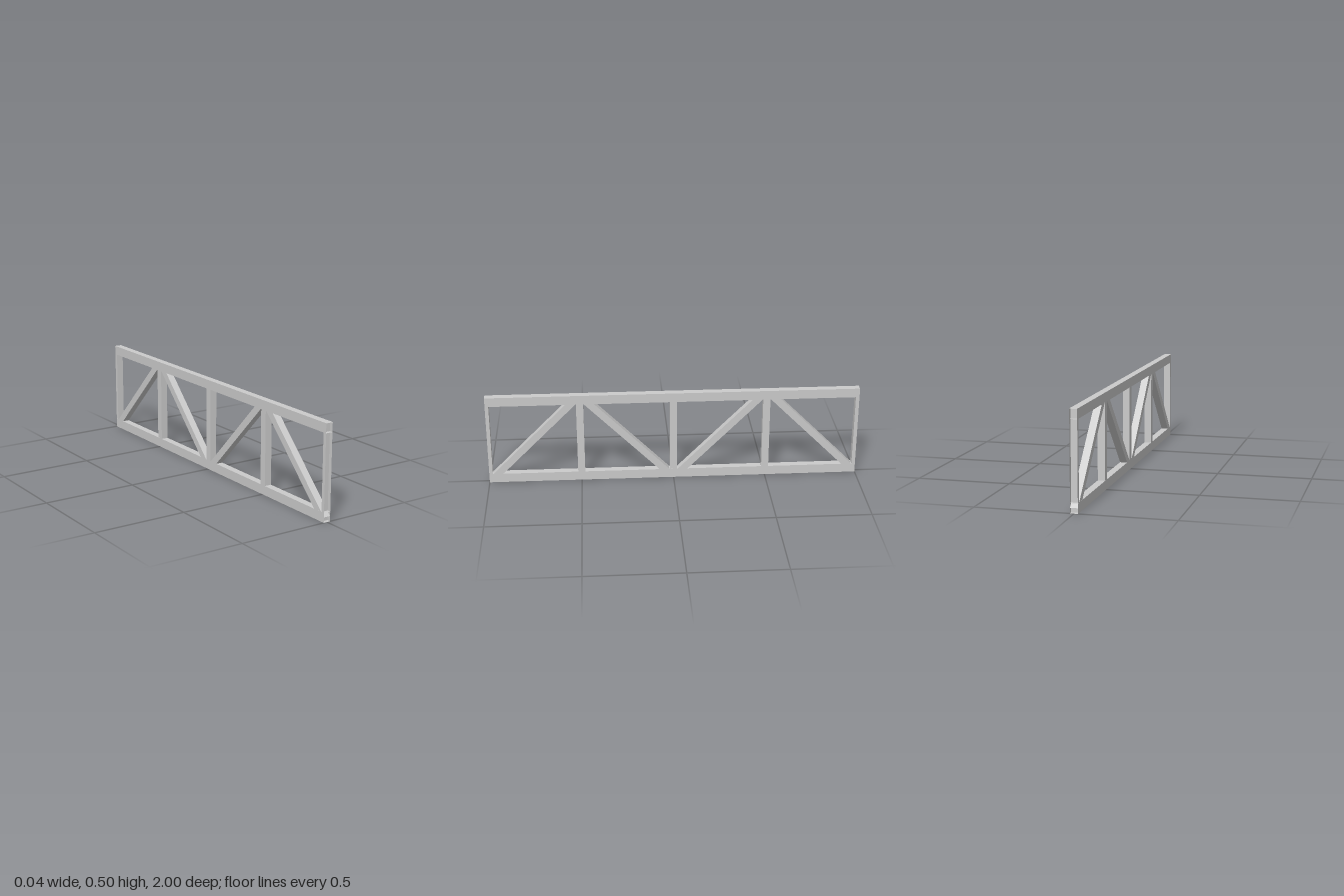
import * as THREE from 'three';

const HEIGHT = 0.5, CHORD = 0.05, BAR = 0.0385, WIDTH = 0.039;
const WEB = WIDTH - 0.0006; // web members sit just inside the chord faces
const SLOPE = BAR / Math.SQRT2; // half of a diagonal's vertical thickness

export function createModel() {
  const group = new THREE.Group();
  const material = new THREE.MeshStandardMaterial({
    color: 0xcccccc, side: THREE.DoubleSide, flatShading: true,
  });

  const add = (name, geometry, y = 0, z = 0) => {
    const mesh = new THREE.Mesh(geometry, material);
    mesh.name = name;
    mesh.position.set(0, y, z);
    group.add(mesh);
    return mesh;
  };

  // box keeping only its first faces (order: +x -x +y -y +z -z)
  const openBox = (w, h, d, keep, segments = 1) => {
    const geometry = new THREE.BoxGeometry(w, h, d, 1, 1, segments);
    const index = Array.from(geometry.index.array);
    geometry.setIndex(index.slice(0, keep === 4 ? 24 * segments : 30));
    return geometry;
  };

  // hollow chords, open at both ends
  add('bottomChord', openBox(WIDTH, CHORD, 2, 4), CHORD / 2);
  add('topChord', openBox(WIDTH, CHORD, 2, 4), HEIGHT - CHORD / 2);

  // full posts
  for (const z of [-0.5, 0, 0.5]) {
    add('post', new THREE.BoxGeometry(WEB, HEIGHT - 0.002, BAR), HEIGHT / 2, z);
  }

  // end posts: half sections, open towards the outside
  for (const side of [-1, 1]) {
    const post = add('endPost', openBox(WEB, HEIGHT - 0.002, BAR / 2, 5),
      HEIGHT / 2, side * (1 - BAR / 4));
    if (side > 0) post.rotation.y = Math.PI;
  }

  // 45 degree hollow diagonal, rising from local z = 0.5 to z = 0,
  // trimmed to the outer lines of the truss
  const diagonal = openBox(WEB, 1, 1, 4, 3);
  const stations = [0, SLOPE, 0.5 - SLOPE, 0.5];
  const p = diagonal.attributes.position;
  for (let i = 0; i < p.count; i++) {
    const z = stations[Math.round((p.getZ(i) + 0.5) * 3)];
    const y = p.getY(i) > 0
      ? Math.min(HEIGHT - 0.001, 0.5 - z + SLOPE)
      : Math.max(0.001, 0.5 - z - SLOPE);
    p.setY(i, y);
    p.setZ(i, z);
  }
  const flatDiagonal = diagonal.toNonIndexed();
  flatDiagonal.computeVertexNormals();
  for (const z of [-0.5, 0.5]) {
    for (const turn of [0, Math.PI]) {
      add('diagonal', flatDiagonal, 0, z).rotation.y = turn;
    }
  }

  return group;
}
